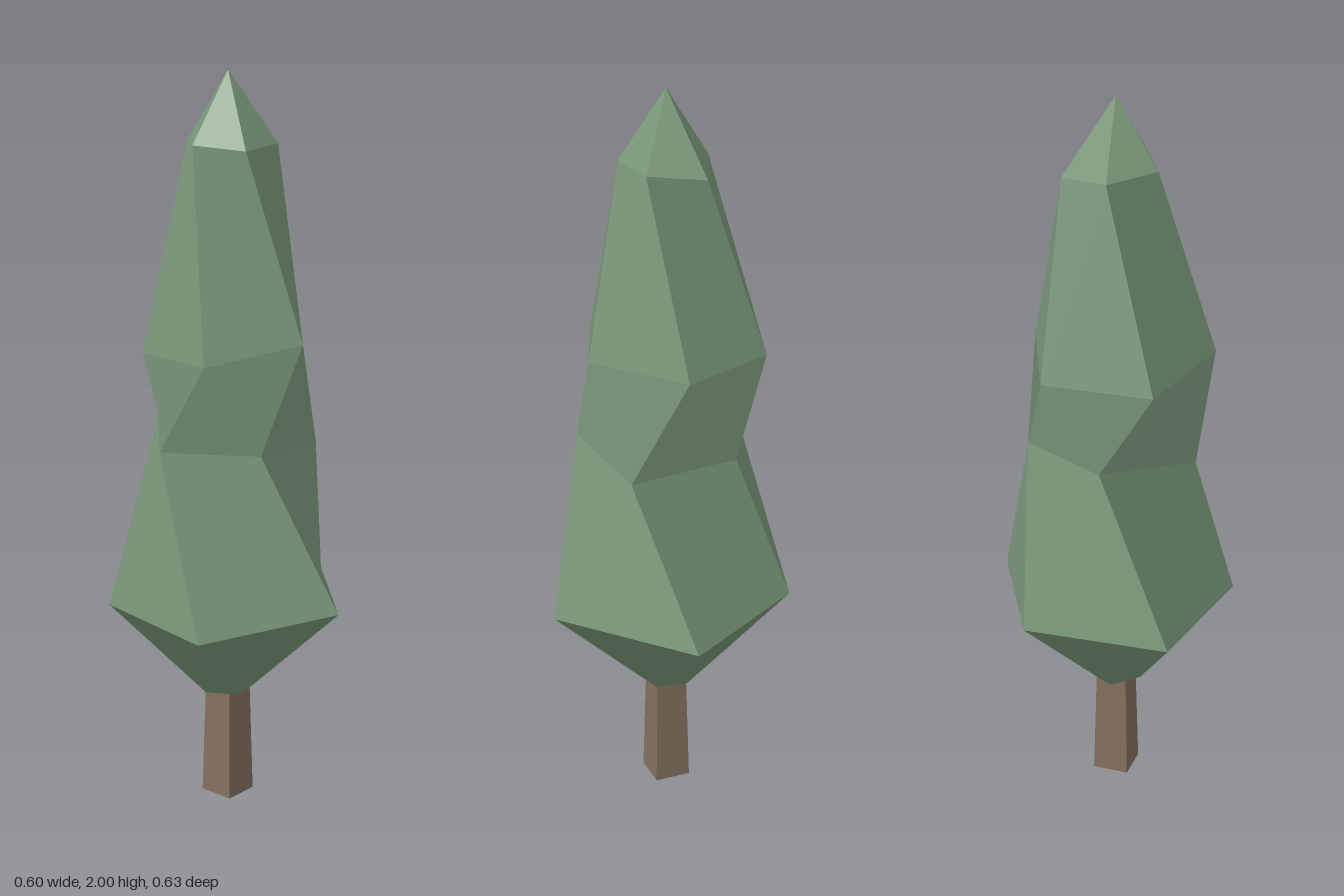
import * as THREE from 'three';

const leafGreen = new THREE.MeshStandardMaterial({ color: 0x7a987a });
leafGreen.name = 'leafGreen';
const barkBrown = new THREE.MeshStandardMaterial({ color: 0x84705f, flatShading: true });
barkBrown.name = 'barkBrown';

// Five-sided foliage rings from bottom to top: left, front-left, front-right, back-right, back-left
const rings = [
  [[-0.042, 0.31, -0.045], [-0.042, 0.31, 0.047], [0.045, 0.31, 0.075], [0.094, 0.31, 0.002], [0.045, 0.31, -0.068]],
  [[-0.3, 0.555, 0.002], [-0.078, 0.557, 0.316], [0.3, 0.59, 0.21], [0.3, 0.57, -0.205], [-0.08, 0.585, -0.318]],
  [[-0.157, 1.05, -0.13], [-0.167, 1.03, 0.146], [0.09, 1.04, 0.232], [0.257, 1.01, 0.002], [0.09, 1.05, -0.222]],
  [[-0.203, 1.26, 0.002], [-0.058, 1.285, 0.257], [0.205, 1.31, 0.142], [0.215, 1.3, -0.142], [-0.058, 1.29, -0.247]],
  [[-0.078, 1.81, -0.071], [-0.074, 1.82, 0.076], [0.058, 1.81, 0.118], [0.15, 1.81, 0.003], [0.065, 1.79, -0.128]],
];
const apex = [0.021, 2, 0.003];
const base = [0.021, 0.31, 0.003];

// For each band and side: / folds from lower left to upper right, \ the other way
const folds = ['\\\\\\\\\\', '\\\\\\//', '//\\\\/', '/////'];

function foliageGeometry() {
  const points = [];
  const normals = [];
  // Adds triangles that share one flat normal, taken across the directions u and v
  const face = (corners, u, v) => {
    const [p, q, r, s] = [...u, ...v].map((c) => new THREE.Vector3(...c));
    const normal = q.sub(p).cross(s.sub(r)).normalize();
    for (const corner of corners) {
      points.push(...corner);
      normals.push(normal.x, normal.y, normal.z);
    }
  };
  const triangle = (a, b, c) => face([a, b, c], [a, b], [a, c]);

  for (let i = 0; i < 5; i++) {
    const j = (i + 1) % 5;
    triangle(base, rings[0][j], rings[0][i]);
    for (let k = 0; k < folds.length; k++) {
      const [a, b, c, d] = [rings[k][i], rings[k][j], rings[k + 1][j], rings[k + 1][i]];
      const corners = folds[k][i] === '/' ? [a, b, c, a, c, d] : [a, b, d, b, c, d];
      face(corners, [a, c], [b, d]);
    }
    triangle(rings[4][i], rings[4][j], apex);
  }
  const geometry = new THREE.BufferGeometry();
  geometry.setAttribute('position', new THREE.Float32BufferAttribute(points, 3));
  geometry.setAttribute('normal', new THREE.Float32BufferAttribute(normals, 3));
  return geometry;
}

export function createModel() {
  const tree = new THREE.Group();
  tree.name = 'tree';

  const foliage = new THREE.Mesh(foliageGeometry(), leafGreen);
  foliage.name = 'foliage';

  // Four-sided tapered trunk with corners on the axes
  const trunk = new THREE.Mesh(new THREE.CylinderGeometry(0.06, 0.07, 0.32, 4), barkBrown);
  trunk.name = 'trunk';
  trunk.position.set(0.022, 0.16, 0.004);

  tree.add(foliage, trunk);
  return tree;
}
